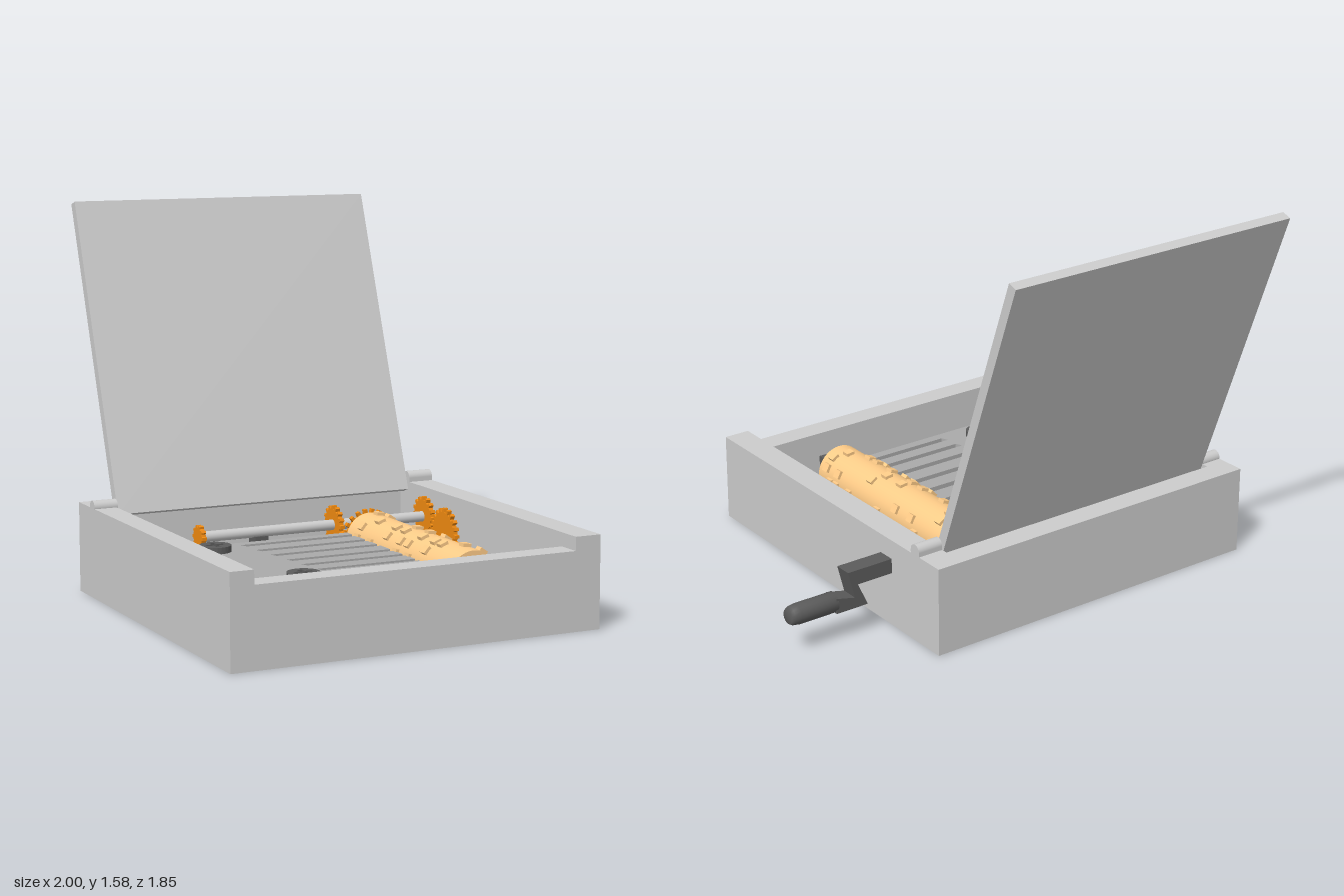
import * as THREE from 'three';

const mat = (color) => new THREE.MeshStandardMaterial({ color });
const grey = mat(0xcccccc), combGrey = mat(0xaaaaaa), dark = mat(0x5c5c5c);
const brass = mat(0xf08a10), wood = mat(0xffcc88);
const FLOOR = 0.05;

function add(parent, name, geometry, material, x = 0, y = 0, z = 0) {
  const mesh = new THREE.Mesh(geometry, material);
  mesh.name = name;
  mesh.position.set(x, y, z);
  parent.add(mesh);
  return mesh;
}

// Box given by its minimum and maximum corners
function block(parent, name, material, [x0, y0, z0], [x1, y1, z1]) {
  return add(parent, name, new THREE.BoxGeometry(x1 - x0, y1 - y0, z1 - z0), material,
    (x0 + x1) / 2, (y0 + y1) / 2, (z0 + z1) / 2);
}

function rod(parent, name, material, radius, length, axis, x, y, z) {
  const g = new THREE.CylinderGeometry(radius, radius, length, 24);
  if (axis === 'x') g.rotateZ(Math.PI / 2);
  if (axis === 'z') g.rotateX(Math.PI / 2);
  return add(parent, name, g, material, x, y, z);
}

const polygon = (pts) => new THREE.Shape(pts.map(([x, y]) => new THREE.Vector2(x, y)));
const extrude = (shape, depth) => new THREE.ExtrudeGeometry(shape, { depth, bevelEnabled: false });

// Toothed wheel centred on its axle
function gear(parent, name, radius, axis, x, y, z, teeth = 12, thick = 0.02) {
  const pts = [];
  for (let i = 0; i < teeth; i++) {
    [[-0.3, 0.84], [-0.2, 1], [0.2, 1], [0.3, 0.84]].forEach(([o, k]) => {
      const a = (i + o) / teeth * Math.PI * 2;
      pts.push([Math.cos(a) * radius * k, Math.sin(a) * radius * k]);
    });
  }
  const g = extrude(polygon(pts), thick).translate(0, 0, -thick / 2);
  if (axis === 'x') g.rotateY(Math.PI / 2);
  if (axis === 'y') g.rotateX(-Math.PI / 2);
  return add(parent, name, g, brass, x, y, z);
}

// Cross-slotted screw reaching down to the floor
function screw(parent, x, z) {
  const s = new THREE.Group();
  s.name = 'screw';
  s.position.set(x, 0, z);
  const cap = new THREE.Shape().absarc(0, 0, 0.065, 0, Math.PI * 2);
  const a = 0.011, b = 0.038;
  cap.holes.push(new THREE.Path([[a, b], [-a, b], [-a, a], [-b, a], [-b, -a], [-a, -a],
    [-a, -b], [a, -b], [a, -a], [b, -a], [b, a], [a, a]].map(([u, v]) => new THREE.Vector2(u, v))));
  add(s, 'screwCap', extrude(cap, 0.016).rotateX(-Math.PI / 2), dark, 0, 0.24, 0);
  rod(s, 'screwHead', dark, 0.065, 0.012, 'y', 0, 0.235, 0);
  rod(s, 'screwShank', dark, 0.03, 0.2, 'y', 0, 0.14, 0);
  parent.add(s);
}

export function createModel() {
  const model = new THREE.Group();
  model.name = 'musicBox';

  // Open case with a lowered front wall
  const body = new THREE.Group();
  body.name = 'case';
  model.add(body);
  block(body, 'floor', grey, [-0.91, 0, -0.52], [0.43, FLOOR, 0.82]);
  block(body, 'rightWall', grey, [-1, 0, -0.62], [-0.905, 0.37, 0.92]);
  block(body, 'leftWall', grey, [0.43, 0, -0.62], [0.54, 0.37, 0.92]);
  block(body, 'backWall', grey, [-0.905, 0, -0.62], [0.43, 0.37, -0.52]);
  block(body, 'frontWall', grey, [-0.905, 0, 0.82], [0.43, 0.315, 0.92]);

  // Hinges and the tilted lid
  rod(model, 'rightHinge', grey, 0.027, 0.1, 'x', -0.95, 0.374, -0.465);
  rod(model, 'leftHinge', grey, 0.027, 0.11, 'x', 0.485, 0.387, -0.465);
  block(model, 'leftHingeBase', grey, [0.43, 0.36, -0.492], [0.54, 0.387, -0.438]);
  const lid = new THREE.Group();
  lid.name = 'lid';
  lid.position.set(-0.237, 0.34, -0.44);
  lid.rotation.x = -THREE.MathUtils.degToRad(20);
  add(lid, 'lidPanel', new THREE.BoxGeometry(1.325, 1.32, 0.042), grey, 0, 0.66, -0.021);
  model.add(lid);

  // Comb plate, its slots open towards the drum
  const slots = [-0.125, -0.01, 0.1, 0.215, 0.32, 0.425, 0.52, 0.605];
  const outline = [[-0.74, 0.66], [-0.74, -0.19], [0.01, -0.19]];
  slots.forEach((z, i) => {
    const left = -0.49 + i * 0.0145, h = 0.018 - i * 0.0005;
    outline.push([0.01, z - h], [left, z - h], [left + 0.012, z + h], [0.01, z + h]);
  });
  outline.push([0.01, 0.66]);
  add(model, 'comb', extrude(polygon(outline), 0.03).rotateX(Math.PI / 2), combGrey, 0, 0.23, 0);
  block(model, 'combInsert', brass, [-0.46, 0.17, 0.082], [-0.31, 0.2, 0.118]);
  block(model, 'combPost', dark, [-0.3, FLOOR, 0.3], [-0.24, 0.19, 0.345]);
  screw(model, -0.63, -0.075);
  screw(model, -0.535, 0.545);

  // Pinned drum with its end gear, axle and posts
  const drum = new THREE.Group();
  drum.name = 'drum';
  drum.position.set(0.12, 0.195, 0);
  model.add(drum);
  add(drum, 'drumCylinder', new THREE.CylinderGeometry(0.108, 0.108, 0.885, 40).rotateX(Math.PI / 2), wood, 0, 0, 0.24);
  gear(drum, 'drumGear', 0.122, 'z', 0, 0, -0.212, 22);
  rod(drum, 'drumAxle', dark, 0.03, 1.08, 'z', 0, 0, 0.24);
  let seed = 7;
  const random = () => (seed = (seed * 16807) % 2147483647) / 2147483647;
  slots.forEach((z) => {
    for (let k = 0; k < 13; k++) {
      const roll = random();
      if (roll > 0.62) continue;
      const a = k / 13 * Math.PI * 2;
      const pin = add(drum, 'pin', new THREE.BoxGeometry(0.02, 0.035, 0.035), wood,
        Math.cos(a) * 0.11, Math.sin(a) * 0.11, z + (roll > 0.3 ? 0.025 : -0.015));
      pin.rotation.z = a;
    }
  });
  block(model, 'frontDrumPost', dark, [0.087, FLOOR, 0.7], [0.152, 0.225, 0.79]);
  block(model, 'backDrumPost', dark, [0.087, FLOOR, -0.315], [0.152, 0.225, -0.235]);

  // Drive shaft, its post and gears
  rod(model, 'driveShaft', grey, 0.022, 1.15, 'x', -0.04, 0.25, -0.275);
  block(model, 'shaftPost', dark, [-0.38, FLOOR, -0.31], [-0.32, 0.235, -0.245]);
  gear(model, 'shaftEndGear', 0.05, 'x', -0.612, 0.25, -0.275, 10);
  gear(model, 'drumDriveGear', 0.08, 'x', -0.005, 0.25, -0.28, 16);
  gear(model, 'crankGear', 0.085, 'x', 0.416, 0.25, -0.275, 16);
  gear(model, 'crankIdlerGear', 0.105, 'x', 0.416, 0.21, -0.09, 20);

  // Gear train in the back right corner
  [[-0.67, 0.2, -0.245], [-0.75, 0.17, -0.31], [-0.8, 0.14, -0.4]].forEach(([x, y, z]) => {
    gear(model, 'flatGear', 0.052, 'y', x, y, z, 10);
    rod(model, 'flatGearPost', brass, 0.012, y - FLOOR, 'y', x, (y + FLOOR) / 2, z);
  });
  gear(model, 'wallGear', 0.052, 'x', -0.875, 0.18, -0.38, 10, 0.03);
  gear(model, 'wallGear', 0.052, 'x', -0.87, 0.17, -0.235, 10);
  gear(model, 'largeWallGear', 0.1, 'x', -0.892, 0.25, -0.17, 18);
  const tilted = gear(model, 'tiltedGear', 0.08, 'x', -0.85, 0.17, 0.1, 14);
  tilted.rotation.z = -0.65;

  // Zigzag crank arm and its grip
  const arm = polygon([[0.44, 0.228], [0.7, 0.228], [0.655, 0.13], [0.8, 0.13], [0.8, 0.195],
    [0.715, 0.175], [0.745, 0.29], [0.44, 0.29]]);
  add(model, 'crankArm', extrude(arm, 0.074), dark, 0, 0, -0.309);
  const grip = [[0, 0], [0.042, 0], [0.042, 0.17], [0.038, 0.197], [0.03, 0.21], [0, 0.21]]
    .map(([r, h]) => new THREE.Vector2(r, h));
  add(model, 'crankGrip', new THREE.LatheGeometry(grip, 20).rotateZ(-Math.PI / 2), dark, 0.79, 0.166, -0.272);

  return model;
}
